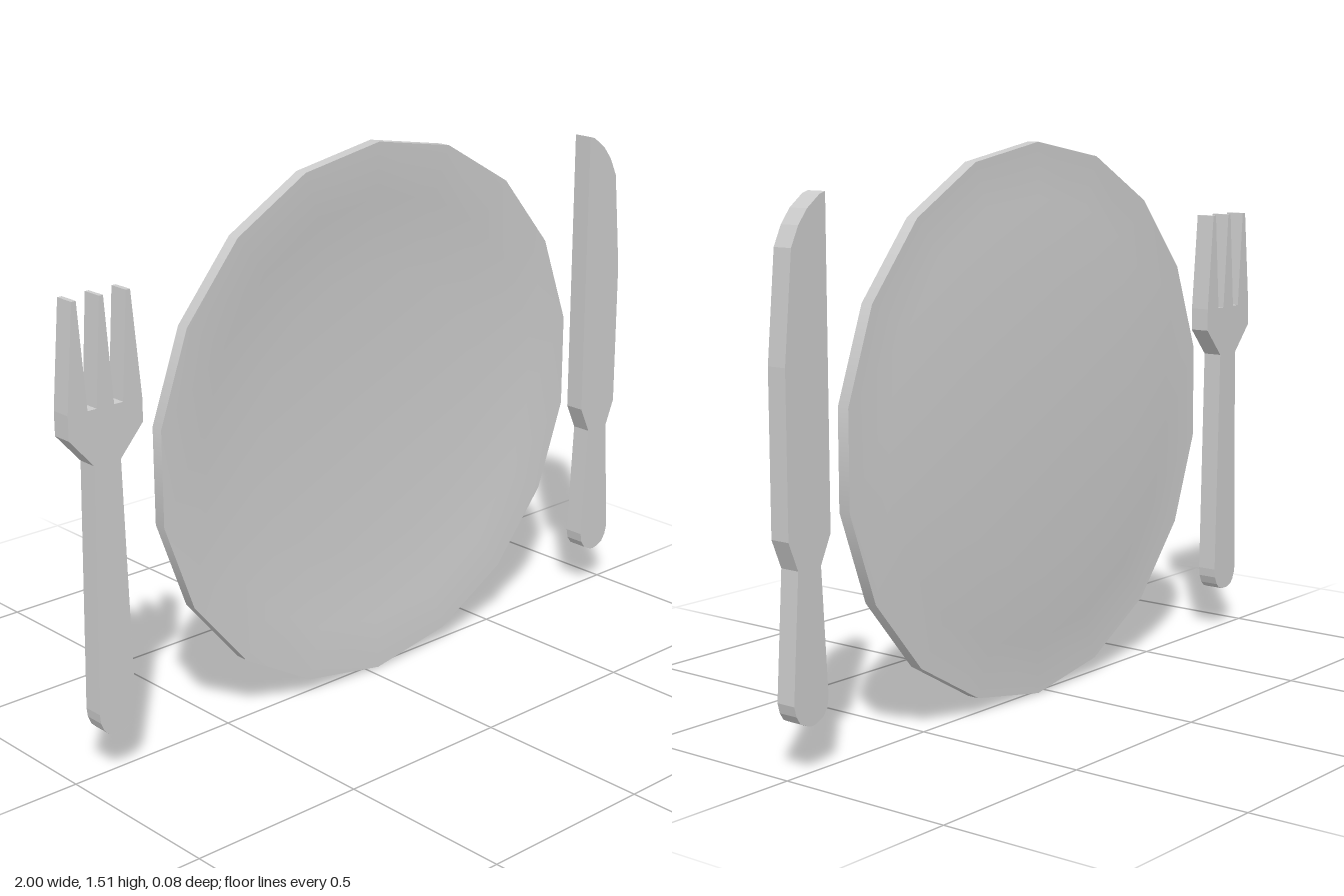
import * as THREE from 'three';

const material = new THREE.MeshStandardMaterial({ color: 0xcccccc });
const plateMaterial = new THREE.MeshStandardMaterial({ color: 0xcccccc, side: THREE.DoubleSide });
const BACK = -0.017, FRONT = 0.04; // depth range of the cutlery

const toPoints = (list) => list.map(([x, y]) => new THREE.Vector2(x, y));

// Flat cutlery piece cut from an outline
function cutlery(name, outline) {
  const geometry = new THREE.ExtrudeGeometry(new THREE.Shape(toPoints(outline)), {
    depth: FRONT - BACK, bevelEnabled: false,
  });
  geometry.translate(0, 0, BACK);
  const mesh = new THREE.Mesh(geometry, material);
  mesh.name = name;
  return mesh;
}

// One smooth band of the 18-sided plate, profile as [radius, z]
function plateBand(name, profile) {
  const geometry = new THREE.LatheGeometry(toPoints(profile), 18);
  geometry.rotateX(Math.PI / 2);
  const mesh = new THREE.Mesh(geometry, plateMaterial);
  mesh.name = name;
  return mesh;
}

export function createModel() {
  const model = new THREE.Group();
  model.name = 'tableSetting';

  // Plate standing upright, hollow side to the front; separate bands keep the rim edges crisp
  const plate = new THREE.Group();
  plate.name = 'plate';
  plate.add(
    plateBand('plateBack', [[0, -0.04], [0.4, -0.04], [0.61, -0.016], [0.757, -0.015]]),
    plateBand('plateRim', [[0.757, -0.015], [0.757, 0.02]]),
    plateBand('plateFront', [[0.757, 0.02], [0.61, 0.014], [0.4, -0.015], [0, -0.015]]),
  );
  plate.position.set(0.037, 0.757, 0);
  model.add(plate);

  // Fork: right half from the handle end up to the middle tine, then mirrored
  const half = [
    [0.015, 0.124], [0.031, 0.13], [0.043, 0.142], [0.053, 0.165], [0.056, 0.19],
    [0.04, 0.853], [0.111, 0.933], [0.111, 0.997],
    [0.086, 1.275], [0.073, 1.275], [0.053, 0.997],
    [0.026, 0.997], [0.006, 1.275],
  ];
  const fork = cutlery('fork', [...half, ...half.map(([x, y]) => [-x, y]).reverse()]);
  fork.position.x = -0.889;
  model.add(fork);

  // Knife: straight cutting edge towards the plate, curved back outside
  model.add(cutlery('knife', [
    [0.912, 0.126], [0.926, 0.123], [0.942, 0.126], [0.968, 0.138], [0.981, 0.158], [0.988, 0.185],
    [0.966, 0.516], [0.997, 0.591], [0.997, 1.01], [0.97, 1.29],
    [0.945, 1.342], [0.915, 1.38], [0.872, 1.412], [0.853, 1.418],
    [0.853, 0.591], [0.888, 0.516], [0.869, 0.185], [0.874, 0.158], [0.888, 0.138],
  ]));

  return model;
}
